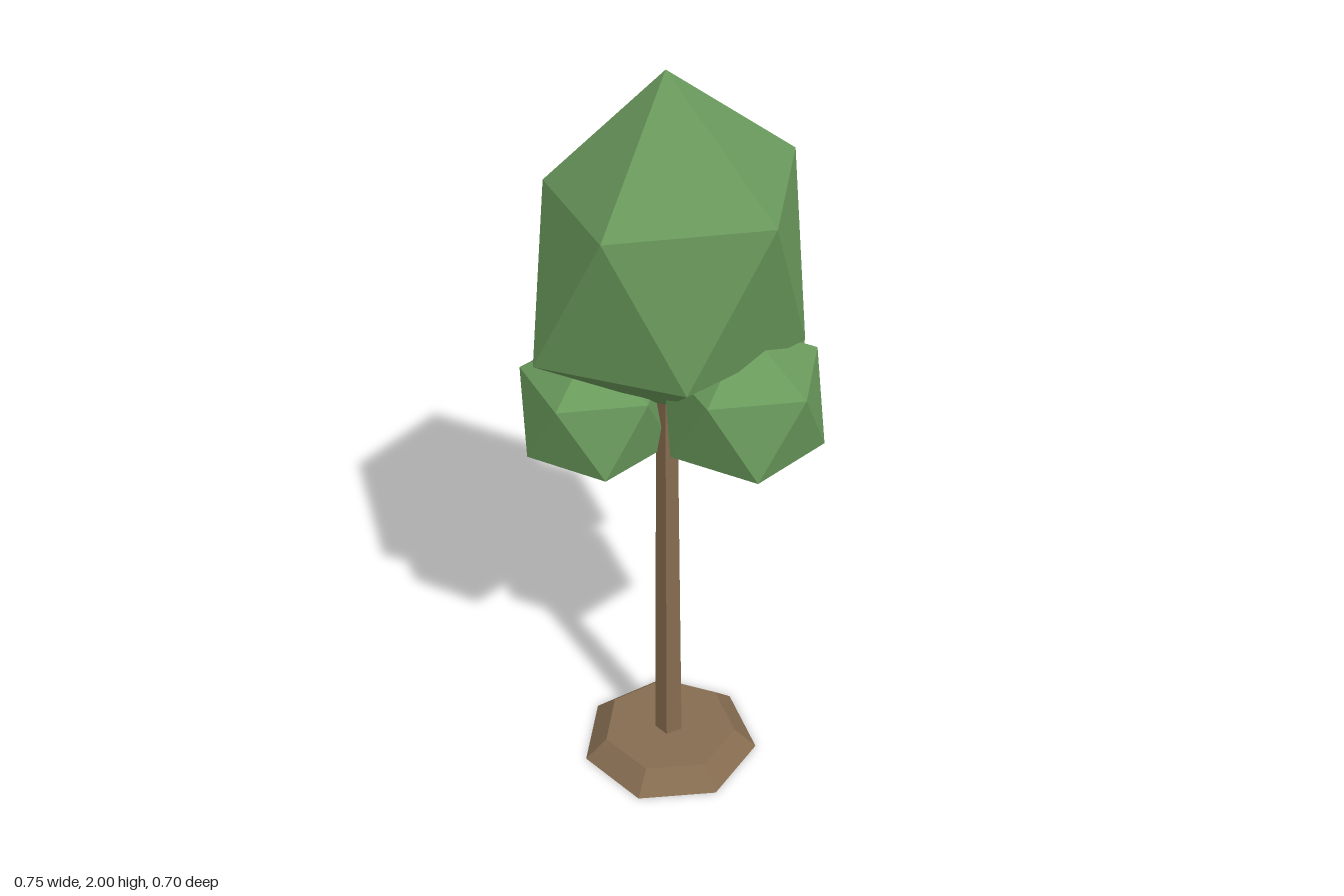
import * as THREE from 'three';
import { ConvexGeometry } from 'three/addons/geometries/ConvexGeometry.js';

// Upright 12-point foliage clump: top tip, two staggered rings of five, bottom tip.
// Ring radii are listed in steps of 36 degrees from +x, alternating upper and lower.
function clumpGeometry(radii, slope, top, bottom) {
  const points = [new THREE.Vector3(0, top, 0), new THREE.Vector3(0, -bottom, 0)];
  radii.forEach((r, i) => {
    const a = i * Math.PI / 5;
    const y = (i % 2 === 0 ? 1 : -1) * slope * r;
    points.push(new THREE.Vector3(Math.cos(a) * r, y, Math.sin(a) * r));
  });
  return new ConvexGeometry(points);
}

export function createModel() {
  const group = new THREE.Group();
  const leaf = new THREE.MeshStandardMaterial({ name: 'leaf green', color: 0x6a9a5c, flatShading: true });
  const bark = new THREE.MeshStandardMaterial({ name: 'bark brown', color: 0x856c50, flatShading: true });

  const add = (name, geometry, material, x, y, z) => {
    const mesh = new THREE.Mesh(geometry, material);
    mesh.name = name;
    mesh.position.set(x, y, z);
    group.add(mesh);
  };

  // Seven-sided mound and five-sided tapering trunk, one corner facing the back
  const cx = -0.03, cz = 0.025;
  add('rootMound', new THREE.CylinderGeometry(0.18, 0.239, 0.055, 7, 1, false, Math.PI), bark, cx, 0.0275, cz);
  add('trunk', new THREE.CylinderGeometry(0.027, 0.039, 1.2, 5, 1, false, Math.PI), bark, cx, 0.6, cz);

  // Tall, slightly uneven main crown
  const crownRadii = [0.34, 0.308, 0.30, 0.342, 0.283, 0.345, 0.322, 0.305, 0.33, 0.326];
  add('mainCrown', clumpGeometry(crownRadii, 0.6, 0.46, 0.42), leaf, cx, 1.54, cz);

  // Smaller clumps around the trunk: name, radius, centre
  const clumps = [
    ['rightClump', 0.208, -0.195, 1.08, 0.11],
    ['leftClump', 0.215, 0.172, 1.205, -0.03],
    ['backClump', 0.22, -0.026, 1.318, -0.165],
  ];
  for (const [name, r, x, y, z] of clumps) {
    add(name, clumpGeometry(Array(10).fill(r * 0.9), 0.5, r * 0.98, r), leaf, x, y, z);
  }
  return group;
}
